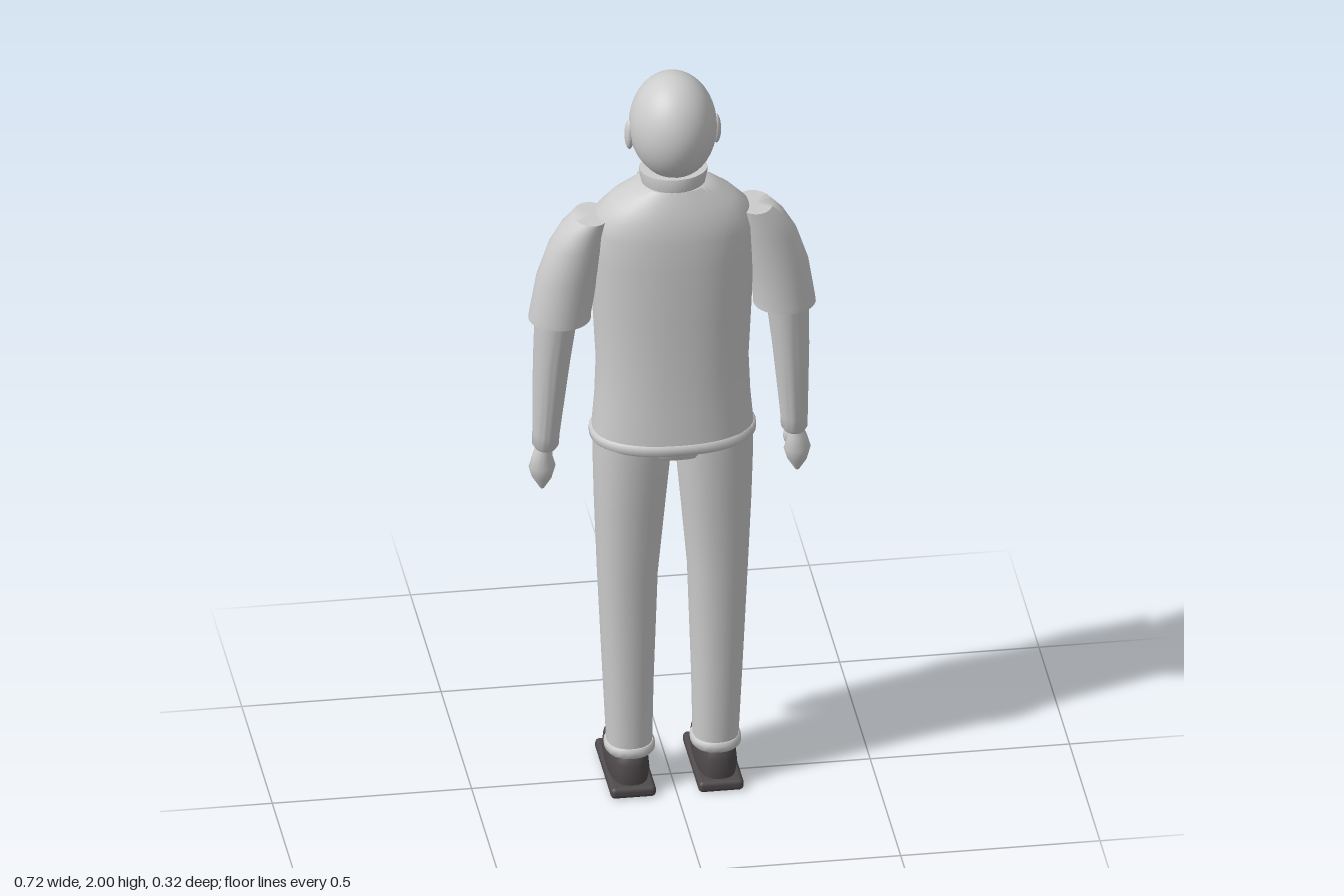
import * as THREE from 'three';
import { toCreasedNormals } from 'three/addons/utils/BufferGeometryUtils.js';
import { RoundedBoxGeometry } from 'three/addons/geometries/RoundedBoxGeometry.js';

const material = (name, color) => {
  const m = new THREE.MeshStandardMaterial({ color, side: THREE.DoubleSide });
  m.name = name;
  return m;
};

// Closed body through horizontal rings [y, xCentre, xRadius, zBack, zFace], listed bottom to top
function loft(rings, power = 2, sides = 32) {
  const pos = [], idx = [];
  const bend = (v) => Math.sign(v) * Math.abs(v) ** (2 / power);
  rings.forEach(([y, cx, rx, z0, z1]) => {
    for (let i = 0; i < sides; i++) {
      const a = (i / sides) * Math.PI * 2;
      pos.push(cx + rx * bend(Math.cos(a)), y, (z0 + z1) / 2 + Math.abs(z0 - z1) / 2 * bend(Math.sin(a)));
    }
  });
  for (let r = 0; r < rings.length - 1; r++) {
    for (let i = 0; i < sides; i++) {
      const a = r * sides + i, b = r * sides + (i + 1) % sides;
      idx.push(a, a + sides, b, b, a + sides, b + sides);
    }
  }
  // end caps
  [0, rings.length - 1].forEach((r) => {
    const [y, cx, , z0, z1] = rings[r], c = pos.length / 3;
    pos.push(cx, y, (z0 + z1) / 2);
    for (let i = 0; i < sides; i++) {
      const a = r * sides + i, b = r * sides + (i + 1) % sides;
      if (r === 0) idx.push(c, a, b); else idx.push(c, b, a);
    }
  });
  const g = new THREE.BufferGeometry();
  g.setAttribute('position', new THREE.Float32BufferAttribute(pos, 3));
  g.setIndex(idx);
  return toCreasedNormals(g, 0.8);
}

const ball = (x, y, z, rx, ry, rz, w = 24, h = 16) =>
  new THREE.SphereGeometry(1, w, h).scale(rx, ry, rz).translate(x, y, z);

const box = (x, y, z, w, h, d) => new THREE.BoxGeometry(w, h, d).translate(x, y, z);

export function createModel() {
  const group = new THREE.Group();
  const grey = material('light grey', 0xcccccc);
  const shoe = material('shoe charcoal', 0x4f4a4b);
  const dark = material('face dark', 0x3a3a3a);
  const add = (name, geometry, mat = grey) => {
    const mesh = new THREE.Mesh(geometry, mat);
    mesh.name = name;
    group.add(mesh);
    return mesh;
  };

  // Head, with a tilted cap of hair cut by a plane
  add('head', ball(0, 1.86, 0.033, 0.106, 0.137, 0.121, 40, 28));
  add('hair', new THREE.SphereGeometry(1, 40, 24, 0, Math.PI * 2, 0, 1.765)
    .rotateX(0.683).scale(0.109, 0.14, 0.125).translate(0, 1.86, 0.033));
  add('nose', ball(0, 1.835, -0.1, 0.016, 0.018, 0.018));
  add('mouth', box(0, 1.79, -0.077, 0.045, 0.009, 0.008), dark);

  // Shirt
  add('shirt', loft([
    [1.0, 0, 0.203, 0.158, -0.108], [1.1, 0, 0.194, 0.153, -0.108], [1.2, 0, 0.19, 0.15, -0.11],
    [1.35, 0, 0.198, 0.15, -0.115], [1.5, 0, 0.203, 0.152, -0.115], [1.58, 0, 0.203, 0.15, -0.105],
    [1.625, 0, 0.19, 0.145, -0.094], [1.66, 0, 0.155, 0.135, -0.078], [1.69, 0, 0.115, 0.124, -0.053],
    [1.71, 0, 0.085, 0.115, -0.035],
  ], 2.25, 48));
  add('shirtHem', loft([[0.988, 0, 0.203, 0.159, -0.11], [0.994, 0, 0.208, 0.163, -0.114],
    [1.01, 0, 0.208, 0.163, -0.114], [1.016, 0, 0.202, 0.158, -0.108]], 2.25, 48));
  add('collarBand', loft([[1.69, 0, 0.075, 0.11, -0.03], [1.7, 0, 0.078, 0.115, -0.035],
    [1.735, 0, 0.085, 0.115, -0.037], [1.745, 0, 0.085, 0.113, -0.035]]));

  // Button strip, buttons and chest pocket follow the curve of the chest
  const chestZ = [[1.02, -0.109], [1.2, -0.111], [1.35, -0.116], [1.5, -0.116], [1.58, -0.107], [1.63, -0.094]];
  add('buttonStrip', loft(chestZ.map(([y, z]) => [y, 0, 0.015, z + 0.005, z - 0.004]), 6, 16));
  for (let i = 0; i < 6; i++) {
    const y = 1.08 + i * 0.095;
    const k = chestZ.findIndex((p) => p[0] >= y), [ya, za] = chestZ[k - 1], [yb, zb] = chestZ[k];
    add('button', ball(0, y, za + (zb - za) * (y - ya) / (yb - ya) - 0.004, 0.008, 0.008, 0.005, 12, 8));
  }
  add('chestPocket', box(0, 0, 0, 0.09, 0.1, 0.009)).position.set(0.09, 1.48, -0.109);
  group.children.at(-1).rotation.y = -0.2;

  // Seat of the trousers
  add('trouserSeat', loft([[0.955, 0, 0.085, 0.12, -0.075], [0.965, 0, 0.09, 0.125, -0.083],
    [1.0, 0, 0.095, 0.13, -0.085]], 3));

  for (const s of [1, -1]) {
    // Face details
    add('ear', ball(s * 0.109, 1.84, 0.031, 0.012, 0.04, 0.019));
    add('eye', ball(s * 0.036, 1.853, -0.079, 0.012, 0.009, 0.006, 16, 10), dark);
    const brow = add('eyebrow', box(0, 0, 0, 0.034, 0.007, 0.008), dark);
    brow.position.set(s * 0.038, 1.88, -0.079);
    brow.rotation.set(0, -s * 0.35, s * 0.2);

    // Collar flap
    const flap = new THREE.Shape([[-0.035, 0.03], [0.03, 0.025], [0.012, -0.035]]
      .map(([x, y]) => new THREE.Vector2(s * x, y)));
    const collar = add('collarFlap', new THREE.ExtrudeGeometry(flap, { depth: 0.008, bevelEnabled: false }));
    collar.position.set(s * 0.045, 1.65, -0.094);
    collar.rotation.set(0.2, -s * 0.4, 0);

    // Sleeve, forearm, hand and thumb
    add('sleeve', loft([
      [1.33, s * 0.282, 0.078, 0.094, -0.057], [1.345, s * 0.281, 0.077, 0.094, -0.056],
      [1.45, s * 0.264, 0.077, 0.095, -0.048], [1.54, s * 0.24, 0.071, 0.096, -0.042],
      [1.59, s * 0.222, 0.059, 0.095, -0.038], [1.62, s * 0.205, 0.045, 0.092, -0.034],
    ]));
    add('forearm', loft([
      [0.945, s * 0.312, 0.026, 0.015, -0.05], [0.955, s * 0.312, 0.033, 0.02, -0.056],
      [0.99, s * 0.311, 0.034, 0.028, -0.056], [1.2, s * 0.3, 0.046, 0.058, -0.052],
      [1.36, s * 0.288, 0.055, 0.076, -0.045],
    ]));
    add('hand', loft([
      [0.828, s * 0.32, 0.005, -0.015, -0.025], [0.86, s * 0.32, 0.025, 0.003, -0.042],
      [0.89, s * 0.32, 0.034, 0.009, -0.05], [0.925, s * 0.32, 0.024, 0.003, -0.042],
      [0.95, s * 0.316, 0.018, 0, -0.04],
    ], 2, 12));
    add('thumb', ball(s * 0.304, 0.91, -0.05, 0.015, 0.026, 0.016, 14, 10));

    // Trouser leg and turn-up
    add('trouserLeg', loft([
      [0.1, s * 0.108, 0.056, 0.086, -0.04], [0.3, s * 0.111, 0.063, 0.092, -0.045],
      [0.6, s * 0.113, 0.075, 0.103, -0.055], [0.8, s * 0.108, 0.088, 0.12, -0.063],
      [0.95, s * 0.103, 0.097, 0.133, -0.071], [1.0, s * 0.102, 0.098, 0.136, -0.074],
    ], 2.2));
    add('turnUp', loft([[0.1, s * 0.108, 0.058, 0.09, -0.042], [0.106, s * 0.108, 0.063, 0.094, -0.046],
      [0.12, s * 0.108, 0.063, 0.094, -0.046], [0.126, s * 0.108, 0.058, 0.09, -0.042]], 2.2));

    // Shoe, sole and laces
    add('sole', new RoundedBoxGeometry(0.114, 0.03, 0.276, 3, 0.012).translate(s * 0.11, 0.015, -0.024), shoe);
    add('shoeUpper', loft([
      [0.025, s * 0.11, 0.049, 0.098, -0.143], [0.05, s * 0.11, 0.053, 0.1, -0.148],
      [0.08, s * 0.11, 0.05, 0.097, -0.143], [0.095, s * 0.109, 0.046, 0.093, -0.11],
      [0.106, s * 0.108, 0.038, 0.085, -0.07],
    ], 2.8), shoe);
    [[0.107, -0.075], [0.103, -0.107], [0.096, -0.139]].forEach(([y, z]) =>
      add('lace', box(s * 0.109, y, z, 0.06, 0.007, 0.009)));
  }
  return group;
}
